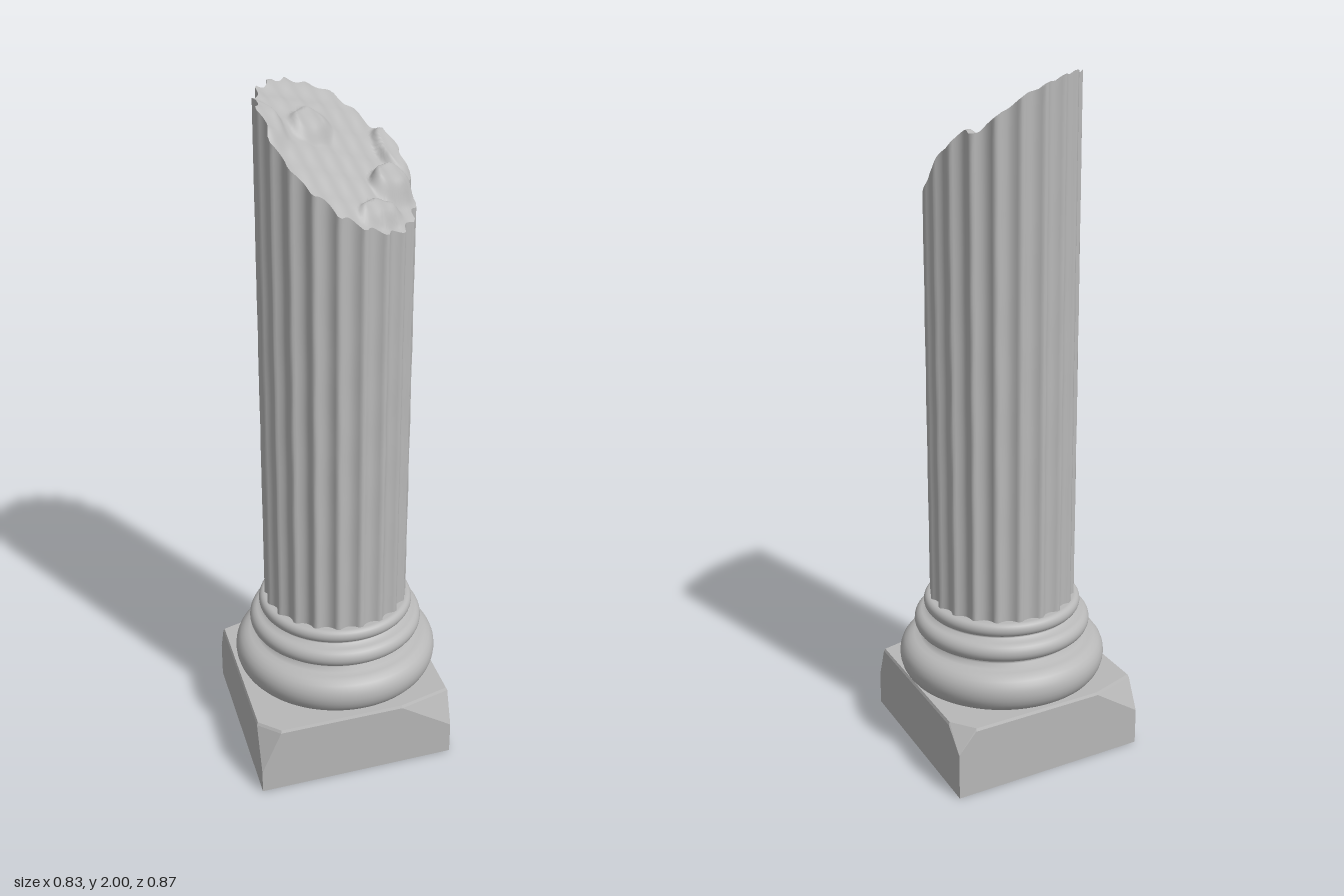
import * as THREE from 'three';
import { ConvexGeometry } from 'three/addons/geometries/ConvexGeometry.js';

const CX = 0.004, CZ = -0.014; // column axis
const FLUTES = 20, PER_FLUTE = 12, COLS = FLUTES * PER_FLUTE;
const SHAFT_BOTTOM = 0.445;

// Grid closed around the axis; rows run up the wall or inward over the cap
function ringGrid(rows, point) {
  const pos = [], index = [];
  for (let j = 0; j <= rows; j++) {
    for (let i = 0; i < COLS; i++) pos.push(...point(j / rows, i));
  }
  for (let j = 0; j < rows; j++) {
    for (let i = 0; i < COLS; i++) {
      const n = (i + 1) % COLS;
      const a = j * COLS + i, b = j * COLS + n, c = a + COLS, d = b + COLS;
      index.push(a, c, b, b, c, d);
    }
  }
  const g = new THREE.BufferGeometry();
  g.setAttribute('position', new THREE.Float32BufferAttribute(pos, 3));
  g.setIndex(index);
  g.computeVertexNormals();
  return g;
}

// Scalloped shaft outline: narrow ridges between concave flutes
function shaftRadius(i) {
  const t = (i % PER_FLUTE) / PER_FLUTE;
  const u = Math.min(1, Math.max(0, (t - 0.1) / 0.8));
  return 0.218 - 0.014 * Math.pow(Math.sin(Math.PI * u), 0.75);
}

// Raised lumps on the break: x, z, half width, half depth, turn, height
const lumps = [
  [0.07, -0.195, 0.085, 0.045, 0.4, 0.035],
  [0.125, -0.105, 0.045, 0.08, 0.1, 0.04],
  [-0.065, 0.0, 0.045, 0.075, 0.0, 0.022],
  [0.165, 0.02, 0.032, 0.078, 0.15, 0.022],
  [-0.11, 0.145, 0.075, 0.055, 0.5, 0.022],
];

// Height of the slanted, broken top
function breakHeight(x, z) {
  let lump = 0;
  for (const [lx, lz, w, d, turn, h] of lumps) {
    const dx = x - lx, dz = z - lz, c = Math.cos(turn), s = Math.sin(turn);
    const r = Math.hypot((dx * c + dz * s) / w, (dz * c - dx * s) / d);
    lump = Math.max(lump, h * (1 - THREE.MathUtils.smoothstep(r, 0.6, 1.1)));
  }
  const rough = 0.0025 * (Math.sin(x * 83 + z * 37) + Math.sin(z * 97 - x * 41));
  const slope = 1.843 - 0.85 * x - 0.2 * Math.max(0, -x - 0.1);
  return Math.min(2, slope + lump + rough);
}

// Half-round moulding profile from (r0, y0) to (r1, y1), bulging to rMax
function moulding(r0, y0, r1, y1, rMax) {
  const pts = [], n = 12;
  for (let k = 0; k <= n; k++) {
    const t = k / n, a = Math.PI * t;
    const chord = r0 + (r1 - r0) * t;
    const y = (y0 + y1) / 2 - Math.cos(a) * (y1 - y0) / 2;
    pts.push(new THREE.Vector2(chord + (rMax - chord) * Math.sin(a), y));
  }
  return pts;
}

export function createModel() {
  const model = new THREE.Group();
  model.name = 'brokenColumn';
  const stone = new THREE.MeshStandardMaterial({ color: 0xb8b8b8 });
  stone.name = 'grey stone';
  const add = (name, geometry) => {
    const mesh = new THREE.Mesh(geometry, stone);
    mesh.name = name;
    model.add(mesh);
    return mesh;
  };

  // Square plinth with a chip off each upper corner:
  // x, z, chip height on the edge, chip length to next and previous corner
  const H = 0.21;
  const corners = [
    [-0.035, -0.437, 0.14, 0.07, 0.055],
    [0.415, -0.035, 0.1, 0.16, 0.04],
    [0.04, 0.435, 0.07, 0.06, 0.06],
    [-0.415, 0.035, 0.11, 0.14, 0.045],
  ];
  const points = [];
  corners.forEach(([x, z, h, toNext, toPrev], i) => {
    const at = new THREE.Vector3(x, 0, z);
    points.push(at, new THREE.Vector3(x, h, z));
    for (const [step, length] of [[1, toNext], [3, toPrev]]) {
      const other = corners[(i + step) % 4];
      const dir = new THREE.Vector3(other[0] - x, 0, other[1] - z).normalize();
      const rim = at.clone().addScaledVector(dir, length);
      // slightly eased top edge
      points.push(rim.clone().setY(H - 0.008));
      points.push(rim.clone().multiplyScalar(0.988).setY(H));
    }
  });
  add('plinth', new ConvexGeometry(points));

  // Round base: two large rolls and a thin collar
  const profile = [
    new THREE.Vector2(0, 0.2),
    new THREE.Vector2(0.27, 0.2),
    ...moulding(0.275, 0.212, 0.25, 0.328, 0.311),
    new THREE.Vector2(0.234, 0.338),
    ...moulding(0.238, 0.35, 0.236, 0.408, 0.265),
    new THREE.Vector2(0.222, 0.414),
    ...moulding(0.222, 0.42, 0.218, 0.46, 0.236),
    new THREE.Vector2(0.19, 0.46),
  ];
  add('mouldedBase', new THREE.LatheGeometry(profile, 96)).position.set(CX, 0, CZ);

  // Point on the shaft section, scaled toward the axis
  const section = (i, scale) => {
    const a = (i / COLS) * Math.PI * 2, r = shaftRadius(i) * scale;
    return [CX + Math.cos(a) * r, CZ + Math.sin(a) * r];
  };

  // Fluted wall rising to the break, with slight wear
  add('flutedShaft', ringGrid(28, (v, i) => {
    const flute = Math.floor(i / PER_FLUTE);
    const wear = 0.003 * Math.sin(v * 31 + flute * 2.4) * Math.sin(v * Math.PI);
    const [x, z] = section(i, 1 + wear);
    const [tx, tz] = section(i, 1);
    return [x, SHAFT_BOTTOM + (breakHeight(tx, tz) - SHAFT_BOTTOM) * v, z];
  }));

  // Rough broken surface closing the top
  add('brokenTop', ringGrid(28, (v, i) => {
    const [x, z] = section(i, 1 - v);
    return [x, breakHeight(x, z), z];
  }));

  return model;
}
